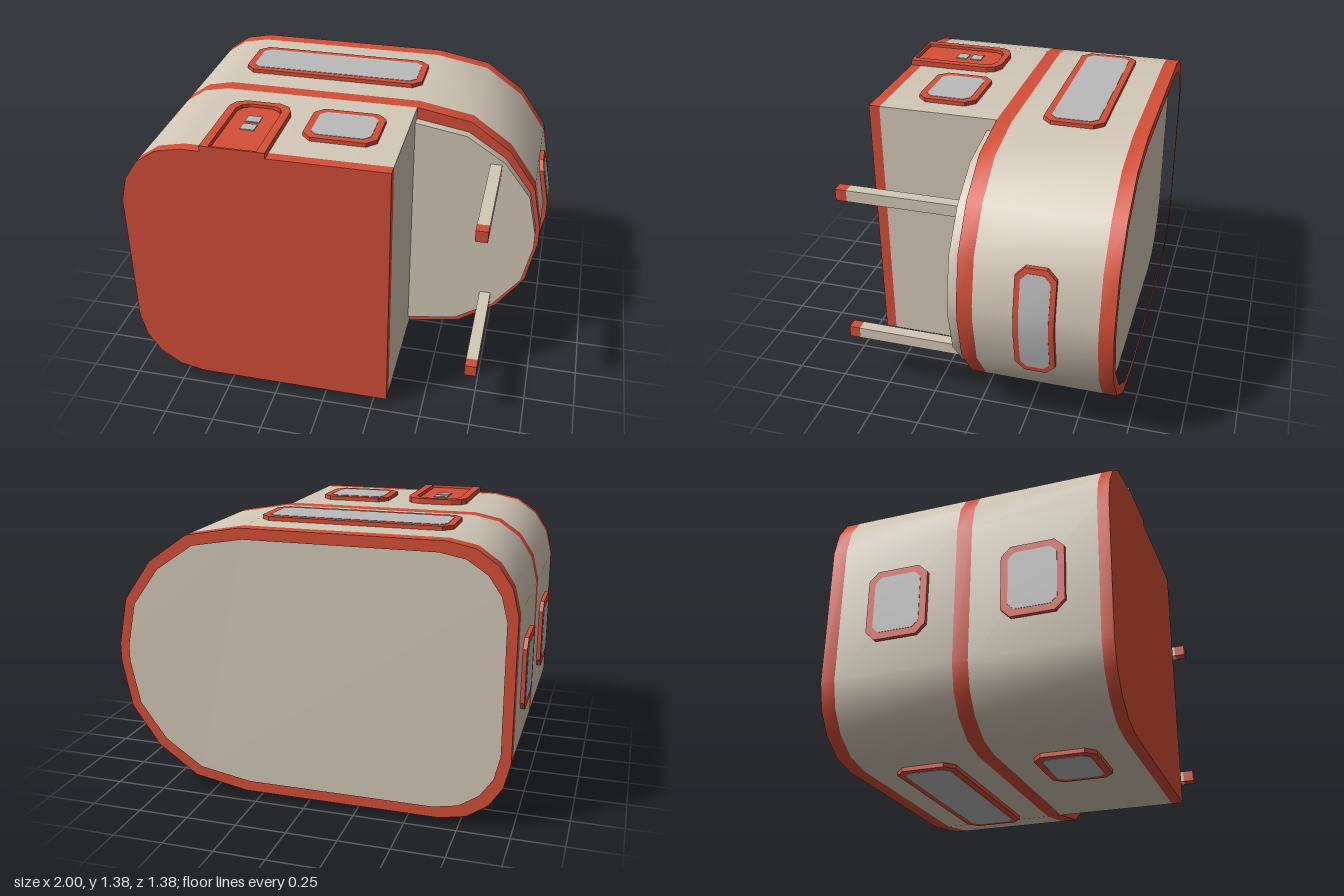
import * as THREE from 'three';
import { toCreasedNormals } from 'three/addons/utils/BufferGeometryUtils.js';

export function createModel() {
  const model = new THREE.Group();
  model.name = 'roundedHouse';
  const paint = (name, color) => {
    const m = new THREE.MeshStandardMaterial({ color });
    m.name = name;
    return m;
  };
  const red = paint('brickRed', 0xd44e36);
  const beige = paint('warmBeige', 0xd3c8b7);
  const grey = paint('glassGrey', 0xbababa);

  const add = (name, geometry, material, parent = model) => {
    const mesh = new THREE.Mesh(geometry, material);
    mesh.name = name;
    parent.add(mesh);
    return mesh;
  };
  const toShape = pts => new THREE.Shape(pts.map(p => new THREE.Vector2(p[0], p[1])));

  // Outline: upper half from the flat end to the round end, mirrored below
  const midY = 0.686;
  const half = [
    [-0.98, 0.345], [-0.95, 0.47], [-0.885, 0.568], [-0.783, 0.638], [-0.655, 0.664],
    [0.32, 0.664], [0.591, 0.615], [0.789, 0.476], [0.928, 0.279], [0.975, 0.046],
  ];
  const ring = [...half, ...half.map(([x, y]) => [x, -y]).reverse()];
  const outline = (sx = 1, sy = sx, pts = ring) => pts.map(([x, y]) => [x * sx, midY + y * sy]);

  // Straight slab of an outline between two z positions
  const slab = (name, pts, z0, z1, material, hole) => {
    const shape = toShape(pts);
    if (hole) shape.holes.push(new THREE.Path(hole.map(p => new THREE.Vector2(p[0], p[1]))));
    const g = new THREE.ExtrudeGeometry(shape, { depth: z1 - z0, bevelEnabled: false });
    g.translate(0, 0, z0);
    return add(name, toCreasedNormals(g, 0.6), material);
  };

  // Main body, rim and bands
  slab('roofRim', outline(), -0.69, -0.62, red, outline(0.95, 0.92));
  slab('upperBody', outline(), -0.62, -0.04, beige);
  slab('middleBand', outline(), -0.04, 0.035, red);
  slab('overhangPlate', outline(0.98, 0.91), 0.035, 0.085, beige);
  const lower = outline(1, 1, ring.filter(p => p[0] < 0.33));
  slab('lowerBody', lower, 0.035, 0.635, beige);
  slab('baseBand', lower, 0.635, 0.69, red);

  // Overhang posts with red feet
  for (const y of [1.08, 0.295]) {
    const post = new THREE.Group();
    post.name = 'post';
    post.position.set(0.73, y, 0);
    model.add(post);
    add('postShaft', new THREE.BoxGeometry(0.058, 0.058, 0.55), beige, post).position.z = 0.36;
    add('postFoot', new THREE.BoxGeometry(0.058, 0.058, 0.055), red, post).position.z = 0.6625;
  }

  // Octagonal plate: x outward, y along, z across; optionally bent to the round end
  const octPlate = (length, width, cut, x0, x1, bent) => {
    const h = length / 2, w = width / 2;
    const rows = [-h, cut - h, -0.046, 0.046, h - cut, h];
    const g = new THREE.BoxGeometry(1, 1, 1, 1, 5, 1);
    const p = g.attributes.position;
    for (let i = 0; i < p.count; i++) {
      const k = Math.round((p.getY(i) + 0.5) * 5);
      const y = rows[k];
      const drop = bent ? Math.max(0, Math.abs(y) - 0.046) * 0.2 : 0;
      const across = k === 0 || k === 5 ? w - cut : w;
      p.setXYZ(i, (p.getX(i) > 0 ? x1 : x0) - drop, y, Math.sign(p.getZ(i)) * across);
    }
    const flat = g.toNonIndexed();
    flat.computeVertexNormals();
    return bent ? toCreasedNormals(flat, 0.5) : flat;
  };

  // Window: red frame with a flush pane
  const addWindow = (x, y, z, turn, length, width, border, bent = false) => {
    const win = new THREE.Group();
    win.name = 'window';
    win.position.set(x, y, z);
    win.rotation.z = turn;
    model.add(win);
    add('windowFrame', octPlate(length, width, 0.045, -0.01, 0.02, bent), red, win);
    add('windowPane', octPlate(length - 2 * border, width - 2 * border, 0.03, 0.016, 0.022, bent), grey, win);
  };
  const Q = Math.PI / 2;
  addWindow(-0.167, 1.35, -0.327, Q, 0.935, 0.297, 0.034);
  addWindow(0.028, 1.35, 0.337, Q, 0.355, 0.297, 0.034);
  addWindow(-0.167, 0.022, -0.327, -Q, 0.935, 0.297, 0.034);
  addWindow(-0.422, 0.022, 0.337, -Q, 0.355, 0.297, 0.034);
  for (const z of [-0.32, 0.337]) addWindow(-0.98, midY, z, Math.PI, 0.355, 0.297, 0.034);
  addWindow(0.977, midY, -0.33, 0, 0.555, 0.19, 0.026, true);

  // Door: arched frame around a recessed panel with small panes
  const arch = (x0, x1, zTop, zBot, c) => [
    [x0, -zBot], [x1, -zBot], [x1, -zTop - c], [x1 - c * 0.3, -zTop - c * 0.35],
    [x1 - c, -zTop], [x0 + c, -zTop], [x0 + c * 0.3, -zTop - c * 0.35], [x0, -zTop - c],
  ];
  const door = new THREE.Group();
  door.name = 'door';
  model.add(door);
  const doorLayer = (name, pts, y0, y1, hole) => {
    const shape = toShape(pts);
    if (hole) shape.holes.push(new THREE.Path(hole.map(p => new THREE.Vector2(p[0], p[1]))));
    const g = new THREE.ExtrudeGeometry(shape, { depth: y1 - y0, bevelEnabled: false });
    g.rotateX(-Q);
    g.translate(0, y0, 0);
    add(name, g, red, door);
  };
  doorLayer('doorFrame', arch(-0.565, -0.255, 0.2, 0.69, 0.07), 1.345, 1.378, arch(-0.524, -0.296, 0.234, 0.68, 0.055));
  doorLayer('doorPanel', arch(-0.518, -0.302, 0.24, 0.674, 0.053), 1.345, 1.365);
  for (const z of [0.367, 0.447]) {
    add('doorPane', new THREE.BoxGeometry(0.07, 0.008, 0.058), grey, door).position.set(-0.41, 1.366, z);
  }
  return model;
}
